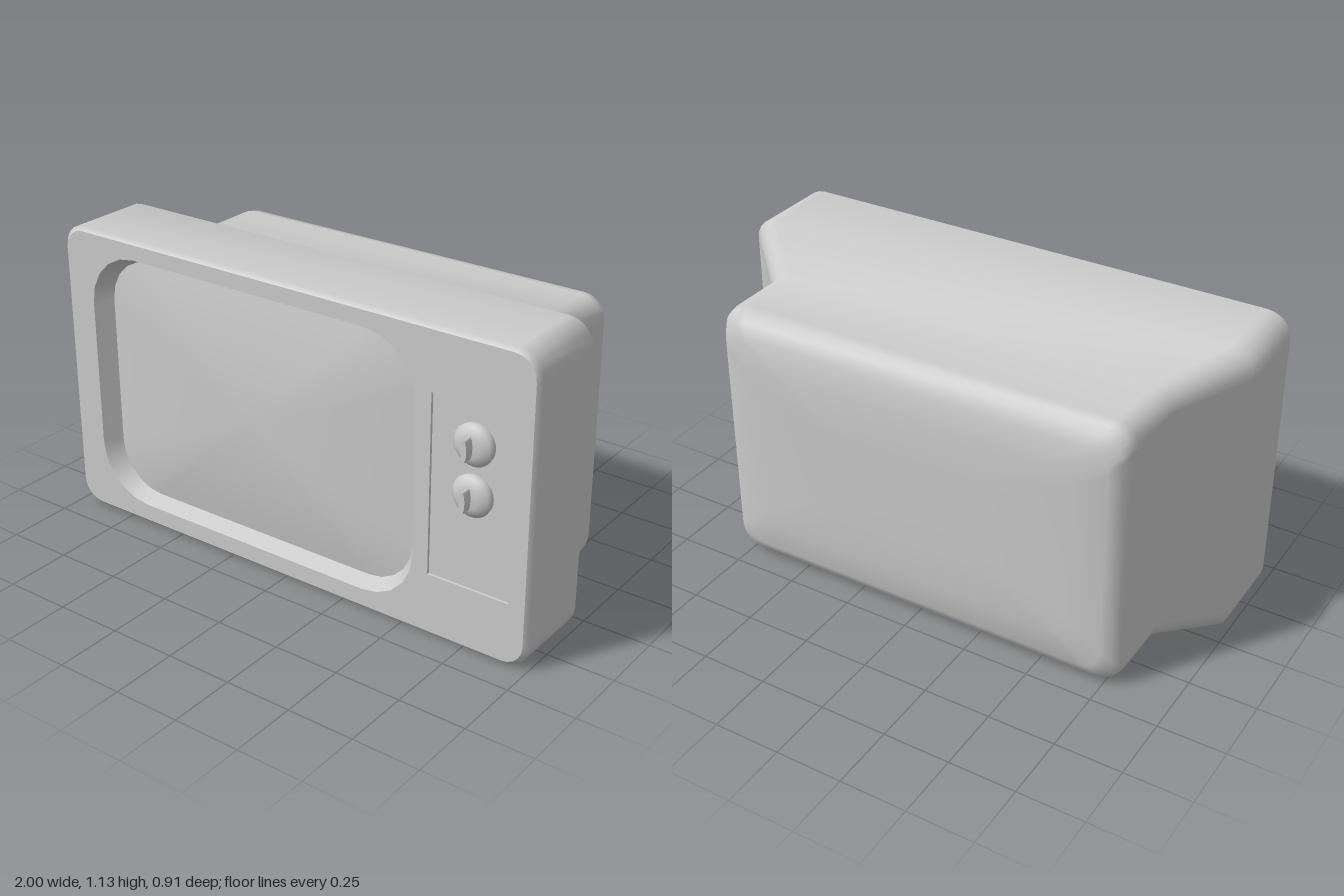
import * as THREE from 'three';

const FRONT = 0.39;
const material = new THREE.MeshStandardMaterial({ color: 0xcccccc });

// Rounded rectangle, counter-clockwise seen from the front
function ring(x0, x1, y0, y1, r, z, steps = 5) {
  const points = [];
  const corners = [[x1 - r, y0 + r], [x1 - r, y1 - r], [x0 + r, y1 - r], [x0 + r, y0 + r]];
  corners.forEach(([cx, cy], q) => {
    for (let i = 0; i <= steps; i++) {
      const a = (q - 1 + i / steps) * Math.PI / 2;
      points.push(new THREE.Vector3(cx + r * Math.cos(a), cy + r * Math.sin(a), z));
    }
  });
  return points;
}

// Skin over a row of rings; inward turns the faces to the inside
function loft(rings, inward = false) {
  const n = rings[0].length;
  const index = [];
  for (let s = 0; s < rings.length - 1; s++) {
    for (let i = 0; i < n; i++) {
      const a = s * n + i, b = s * n + (i + 1) % n, c = a + n, d = b + n;
      if (inward) index.push(a, b, c, b, d, c);
      else index.push(a, c, b, b, c, d);
    }
  }
  const geometry = new THREE.BufferGeometry().setFromPoints(rings.flat());
  geometry.setIndex(index);
  geometry.computeVertexNormals();
  return geometry;
}

const flat = (points) => points.map((p) => new THREE.Vector2(p.x, p.y));

function add(parent, name, geometry, x = 0, y = 0, z = 0) {
  const mesh = new THREE.Mesh(geometry, material);
  mesh.name = name;
  mesh.position.set(x, y, z);
  parent.add(mesh);
  return mesh;
}

function createKnob(name, y) {
  const knob = new THREE.Group();
  knob.name = name;
  knob.position.set(0.775, y, FRONT - 0.01);
  // Domed disc, turned to face the front
  const profile = [[0.073, 0], [0.075, 0.015], [0.066, 0.024], [0.052, 0.032], [0.036, 0.038], [0, 0.04]]
    .map(([r, h]) => new THREE.Vector2(r, h));
  const disc = new THREE.LatheGeometry(profile, 28);
  disc.rotateX(Math.PI / 2);
  add(knob, 'knobDisc', disc);
  // Thin oval finger grip
  const grip = new THREE.CylinderGeometry(0.04, 0.04, 0.055, 20);
  grip.rotateX(Math.PI / 2);
  grip.scale(0.27, 1, 1);
  add(knob, 'knobGrip', grip, 0, 0, 0.0475);
  return knob;
}

export function createModel() {
  const model = new THREE.Group();
  model.name = 'television';

  // Cabinet shell: half width, bottom, top, corner radius, z from front to back
  const sections = [
    [0.985, 0.015, 1.12, 0.08, FRONT],
    [1.0, 0.0, 1.135, 0.09, 0.375],
    [1.0, 0.0, 1.135, 0.09, 0.07],
    [0.805, 0.0, 1.028, 0.08, -0.11],
    [0.805, 0.0, 1.028, 0.08, -0.35],
    [0.8, 0.008, 1.022, 0.08, -0.385],
    [0.783, 0.03, 0.995, 0.08, -0.415],
    [0.745, 0.07, 0.95, 0.08, -0.436],
    [0.62, 0.19, 0.86, 0.07, -0.453],
    [0.3, 0.36, 0.69, 0.04, -0.455],
    [0, 0.52, 0.52, 0, -0.455],
  ];
  const shell = sections.map(([w, y0, y1, r, z]) => ring(-w, w, y0, y1, r, z));
  add(model, 'cabinet', loft(shell));

  // Front face with openings for the screen and the control panel
  const screenRim = ring(-0.87, 0.55, 0.08, 1.062, 0.21, FRONT);
  const panelRim = ring(0.61, 0.925, 0.238, 0.905, 0.002, FRONT, 1);
  const face = new THREE.Shape(flat(shell[0]));
  face.holes.push(new THREE.Path(flat(screenRim)), new THREE.Path(flat(panelRim)));
  add(model, 'frontFace', new THREE.ShapeGeometry(face), 0, 0, FRONT);

  // Sloping wall around the screen
  const recess = FRONT - 0.06;
  const [x0, x1, y0, y1, r] = [-0.825, 0.508, 0.105, 1.037, 0.18];
  add(model, 'screenSurround', loft([screenRim, ring(x0, x1, y0, y1, r, recess)], true));

  // Bulging screen
  const cx = (x0 + x1) / 2, cy = (y0 + y1) / 2;
  const hw = (x1 - x0) / 2, hh = (y1 - y0) / 2;
  const dome = [1, 0.85, 0.7, 0.5, 0.3, 0.15, 0].map((t) =>
    ring(cx - hw * t, cx + hw * t, cy - hh * t, cy + hh * t, r * t, recess + 0.045 * (1 - t * t)));
  add(model, 'screen', loft(dome, true));

  // Shallow control panel
  const panelBack = panelRim.map((p) => new THREE.Vector3(p.x, p.y, FRONT - 0.01));
  add(model, 'panelEdge', loft([panelRim, panelBack], true));
  add(model, 'controlPanel', new THREE.ShapeGeometry(new THREE.Shape(flat(panelBack))), 0, 0, FRONT - 0.01);

  // Two dials
  model.add(createKnob('upperKnob', 0.77), createKnob('lowerKnob', 0.588));
  return model;
}
